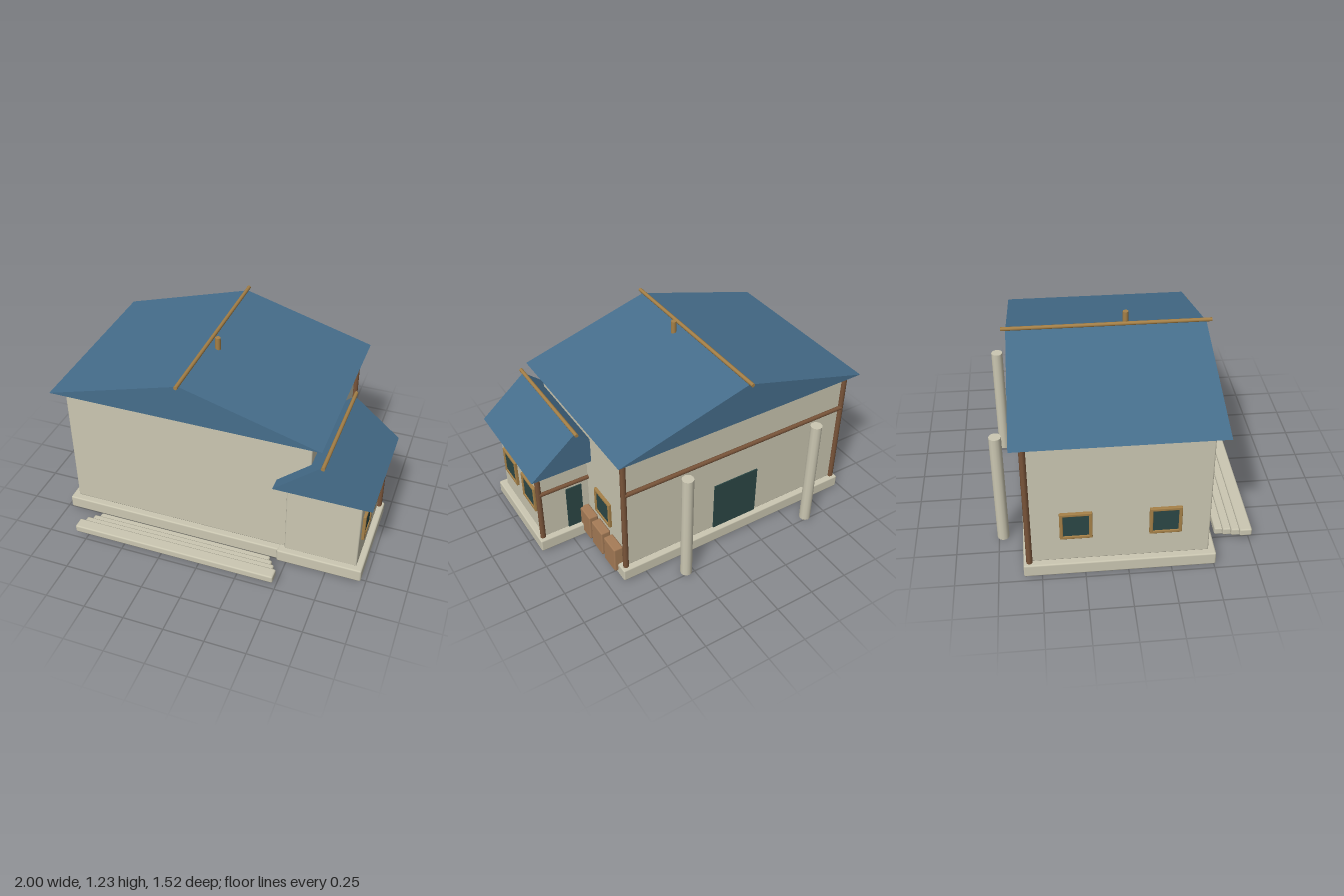
import * as THREE from 'three';
import { RoundedBoxGeometry } from 'three/addons/geometries/RoundedBoxGeometry.js';

export function createModel() {
  const model = new THREE.Group();
  model.name = 'house';
  const material = (name, color) => {
    const m = new THREE.MeshStandardMaterial({ color });
    m.name = name;
    return m;
  };
  const plaster = material('cream plaster', 0xcbc7b2);
  const slate = material('blue roof', 0x466e8c);
  const timber = material('brown timber', 0x7a553a);
  const golden = material('golden wood', 0xa68148);
  const crateWood = material('crate wood', 0xa67c57);
  const glass = material('dark panel', 0x2c4846);

  const add = (name, geometry, mat, parent = model) => {
    const mesh = new THREE.Mesh(geometry, mat);
    mesh.name = name;
    parent.add(mesh);
    return mesh;
  };
  // Bevelled box given by its extents
  const block = (name, mat, x0, x1, y0, y1, z0, z1, bevel = 0.008, parent = model) => {
    const g = new RoundedBoxGeometry(x1 - x0, y1 - y0, z1 - z0, 1, bevel);
    g.translate((x0 + x1) / 2, (y0 + y1) / 2, (z0 + z1) / 2);
    return add(name, g, mat, parent);
  };
  // Round bar between two points
  const bar = (name, mat, a, b, radius, sides = 8) => {
    const from = new THREE.Vector3(...a), to = new THREE.Vector3(...b);
    const dir = to.clone().sub(from);
    const mesh = add(name, new THREE.CylinderGeometry(radius, radius, dir.length(), sides), mat);
    mesh.position.copy(from).add(to).multiplyScalar(0.5);
    mesh.quaternion.setFromUnitVectors(new THREE.Vector3(0, 1, 0), dir.normalize());
    return mesh;
  };
  // Solid gabled roof with a ridge along z
  const roof = (name, x0, x1, y0, y1, z0, z1) => {
    const gable = new THREE.Shape();
    gable.moveTo(x0, y0);
    gable.lineTo(x1, y0);
    gable.lineTo((x0 + x1) / 2, y1);
    gable.closePath();
    const g = new THREE.ExtrudeGeometry(gable, { depth: z1 - z0, bevelEnabled: false });
    g.translate(0, 0, z0);
    add(name, g, slate);
  };

  // L-shaped foundation
  block('mainFoundation', plaster, -0.975, 0.655, 0.005, 0.088, -0.605, 0.51, 0.01);
  block('wingFoundation', plaster, 0.44, 0.97, 0.005, 0.09, -0.13, 0.525, 0.01);

  // Walls
  block('mainWalls', plaster, -0.935, 0.612, 0.085, 0.932, -0.568, 0.468);
  block('wingWalls', plaster, 0.478, 0.93, 0.085, 0.61, -0.094, 0.485);

  // Roofs, ridge poles and chimney
  roof('mainRoof', -1, 0.682, 0.928, 1.17, -0.64, 0.537);
  roof('wingRoof', 0.41, 0.998, 0.604, 0.85, -0.16, 0.555);
  bar('mainRidgePole', golden, [-0.16, 1.18, -0.668], [-0.16, 1.18, 0.57], 0.012);
  bar('wingRidgePole', golden, [0.704, 0.856, -0.188], [0.704, 0.856, 0.585], 0.012);
  bar('chimney', golden, [-0.1, 1.14, 0.065], [-0.1, 1.228, 0.065], 0.017, 12);

  // Corner posts and rear rails
  bar('mainLeftPost', timber, [0.622, 0.085, -0.57], [0.622, 0.928, -0.57], 0.018);
  bar('mainRightPost', timber, [-0.943, 0.085, -0.57], [-0.943, 0.928, -0.57], 0.018);
  bar('wingPost', timber, [0.939, 0.085, -0.092], [0.939, 0.606, -0.092], 0.018);
  bar('mainRail', timber, [-0.943, 0.66, -0.577], [0.622, 0.66, -0.577], 0.014);
  bar('wingRail', timber, [0.612, 0.44, -0.102], [0.939, 0.44, -0.102], 0.013);

  // Free-standing columns behind the house
  for (const x of [-0.615, 0.295]) {
    bar('rearColumn', plaster, [x, 0, -0.725], [x, 0.748, -0.725], 0.036, 12);
  }

  // Front steps
  for (let i = 0; i < 4; i++) {
    const inset = 0.026 * i, y = 0.053 - 0.016 * i, z = 0.683 - 0.0455 * i;
    block('frontStep', plaster, -0.81 + inset, 0.49 - inset, y, y + 0.049, z, z + 0.075, 0.01);
  }

  // Side windows: frame bars around a dark pane
  const addWindow = (wallX, side, z) => {
    const w = new THREE.Group();
    w.name = 'window';
    const x0 = -0.012, x1 = 0.018;
    for (const s of [-1, 1]) {
      block('windowFrameSide', golden, x0, x1, -0.092, 0.092, s * 0.083 - 0.01, s * 0.083 + 0.01, 0.005, w);
      const c = s * 0.082;
      block('windowFrameRail', golden, x0, x1, c - 0.01, c + 0.01, -0.092, 0.092, 0.005, w);
    }
    const pane = add('windowPane', new THREE.BoxGeometry(0.009, 0.15, 0.15), glass, w);
    pane.position.x = 0.006;
    w.position.set(wallX, 0.346, z);
    if (side < 0) w.rotation.y = Math.PI;
    model.add(w);
  };
  for (const z of [0.335, 0.06]) addWindow(0.93, 1, z);
  addWindow(0.612, 1, -0.298);
  for (const z of [0.21, -0.298]) addWindow(-0.935, -1, z);

  // Rear doors
  const door = (name, x0, x1, y1, z) => {
    const mesh = add(name, new THREE.BoxGeometry(x1 - x0, y1 - 0.088, 0.009), glass);
    mesh.position.set((x0 + x1) / 2, (y1 + 0.088) / 2, z);
  };
  door('mainDoor', -0.315, 0, 0.43, -0.57);
  door('wingDoor', 0.66, 0.765, 0.4, -0.096);

  // Crates along the side wall
  for (const z of [-0.15, -0.307, -0.465]) {
    block('crate', crateWood, 0.615, 0.678, 0.032, 0.212, z - 0.067, z + 0.067, 0.01);
  }
  return model;
}
